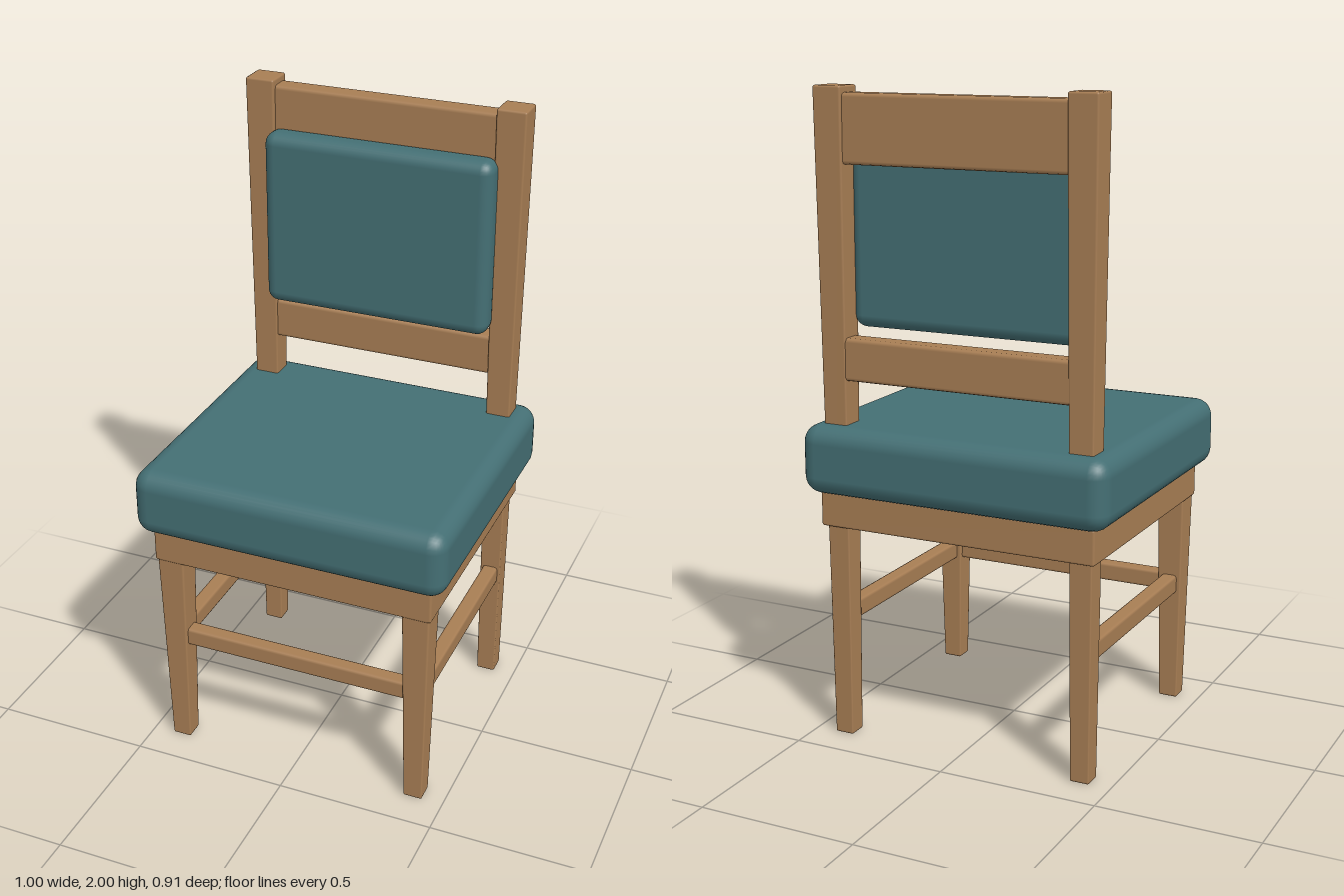
import * as THREE from 'three';
import { RoundedBoxGeometry } from 'three/addons/geometries/RoundedBoxGeometry.js';

export function createModel() {
  const chair = new THREE.Group();
  chair.name = 'chair';

  const wood = new THREE.MeshStandardMaterial({ color: 0xa87e54 });
  wood.name = 'wood';
  const fabric = new THREE.MeshStandardMaterial({ color: 0x446f74 });
  fabric.name = 'teal fabric';

  // Soft-edged block given by its [min, max] extents
  function block(name, material, [x0, x1], [y0, y1], [z0, z1], radius, segments = 1) {
    const geometry = new RoundedBoxGeometry(x1 - x0, y1 - y0, z1 - z0, segments, radius);
    const mesh = new THREE.Mesh(geometry, material);
    mesh.position.set((x0 + x1) / 2, (y0 + y1) / 2, (z0 + z1) / 2);
    mesh.name = name;
    chair.add(mesh);
    return mesh;
  }

  // Square post that narrows towards the floor
  function taperedPost(name, x, z, height, topWidth, footWidth) {
    const h = topWidth / 2;
    const mesh = block(name, wood, [x - h, x + h], [0, height], [z - h, z + h], 0.007);
    const p = mesh.geometry.attributes.position;
    for (let i = 0; i < p.count; i++) {
      const s = THREE.MathUtils.lerp(footWidth / topWidth, 1, p.getY(i) / height + 0.5);
      p.setX(i, p.getX(i) * s);
      p.setZ(i, p.getZ(i) * s);
    }
  }

  // Legs and side stretchers, mirrored
  for (const [side, label] of [[1, 'left'], [-1, 'right']]) {
    const x = side * 0.402;
    taperedPost(`${label}FrontLeg`, x, 0.361, 0.7, 0.088, 0.061);
    taperedPost(`${label}BackPost`, x, -0.358, 2, 0.094, 0.061);
    block(`${label}Stretcher`, wood, [x - 0.025, x + 0.025], [0.365, 0.425], [-0.34, 0.34], 0.01);
  }
  block('frontStretcher', wood, [-0.385, 0.385], [0.365, 0.425], [0.336, 0.386], 0.01);

  // Seat
  block('seatFrame', wood, [-0.452, 0.452], [0.68, 0.79], [-0.41, 0.41], 0.008);
  block('seatCushion', fabric, [-0.5, 0.5], [0.785, 1], [-0.455, 0.455], 0.055, 3);

  // Backrest
  block('topRail', wood, [-0.38, 0.38], [1.775, 1.98], [-0.395, -0.325], 0.012);
  block('lowerRail', wood, [-0.38, 0.38], [1.135, 1.265], [-0.395, -0.325], 0.012);
  block('backCushion', fabric, [-0.37, 0.37], [1.29, 1.85], [-0.345, -0.25], 0.038, 3);

  return chair;
}
